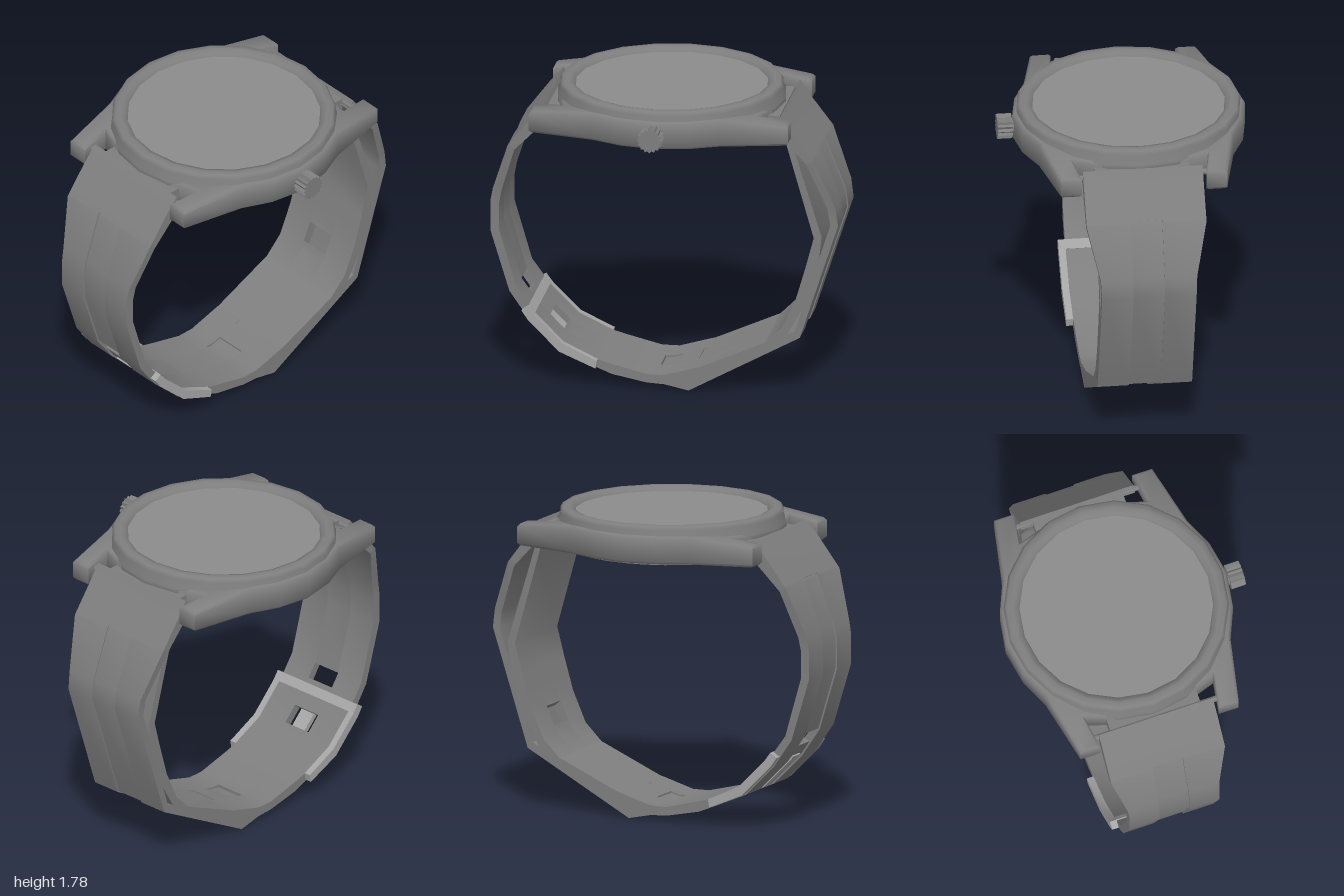
import * as THREE from 'three';
import { toCreasedNormals } from 'three/addons/utils/BufferGeometryUtils.js';

const CX = -0.045; // watch centre line
const dark = new THREE.MeshStandardMaterial({ color: 0x7e7e7e });
const dialGrey = new THREE.MeshStandardMaterial({ color: 0x8b8b8b });
const metal = new THREE.MeshStandardMaterial({ color: 0xa5a5a5 });

// Strap sections: outer z, outer y, inner z, inner y, half width
const FRONT = [
  [0.68, 1.69, 0.655, 1.63, 0.342], [0.76, 1.6, 0.71, 1.55, 0.342], [0.89, 1.43, 0.85, 1.41, 0.342],
  [0.985, 1.15, 0.935, 1.14, 0.275], [1, 1.07, 0.95, 1.06, 0.27], [1, 0.9, 0.95, 0.905, 0.27],
  [0.89, 0.54, 0.85, 0.56, 0.27], [0.78, 0.38, 0.74, 0.41, 0.27], [0.6, 0.2, 0.58, 0.25, 0.27],
  [0.4, 0.115, 0.39, 0.16, 0.27], [0.3, 0.075, 0.3, 0.135, 0.27], [0.1, 0.035, 0.1, 0.085, 0.27],
  [0, 0.03, 0, 0.085, 0.27], [-0.17, 0.08, -0.17, 0.135, 0.27], [-0.33, 0.135, -0.32, 0.175, 0.27],
  [-0.61, 0.27, -0.58, 0.31, 0.27], [-0.71, 0.37, -0.68, 0.41, 0.27], [-0.81, 0.55, -0.76, 0.59, 0.27],
  [-0.885, 0.77, -0.815, 0.78, 0.27], [-0.905, 0.96, -0.86, 0.95, 0.27], [-0.73, 1.53, -0.7, 1.51, 0.27],
];
const BACK = [
  [0.1, 0.035, 0.1, 0.06, 0.27], [0, 0.03, 0, 0.075, 0.27], [-0.14, 0, -0.14, 0.115, 0.27],
  [-0.78, 0.35, -0.75, 0.385, 0.27], [-1, 1.03, -0.955, 1.03, 0.27], [-0.985, 1.14, -0.94, 1.13, 0.275],
  [-0.87, 1.43, -0.83, 1.41, 0.342], [-0.74, 1.6, -0.7, 1.55, 0.342], [-0.68, 1.69, -0.655, 1.63, 0.342],
];

// Section at a fractional position along the strap
function sample(rows, t) {
  const i = Math.min(Math.floor(t), rows.length - 2);
  return rows[i].map((v, k) => v + (rows[i + 1][k] - v) * (t - i));
}

// Solid strip between positions t0 and t1; xa and xb give the side edges from the half width
function strip(rows, t0, t1, xa, xb, lift = 0, sink = 0) {
  const ts = [t0];
  for (let i = Math.floor(t0) + 1; i < t1; i++) ts.push(i);
  ts.push(t1);
  const rings = ts.map((t) => {
    const [zo, yo, zi, yi, w] = sample(rows, t);
    const at = (x, f) => [CX + x, yo + (yi - yo) * f, zo + (zi - zo) * f];
    return [at(xa(w), lift), at(xb(w), lift), at(xb(w), 1 + sink), at(xa(w), 1 + sink)];
  });
  const pos = [];
  const quad = (a, b, c, d) => pos.push(...a, ...b, ...c, ...a, ...c, ...d);
  for (let i = 0; i < rings.length - 1; i++) {
    const p = rings[i], q = rings[i + 1];
    for (let k = 0; k < 4; k++) quad(p[k], q[k], q[(k + 1) % 4], p[(k + 1) % 4]);
  }
  quad(...rings[0]);
  quad(...rings[rings.length - 1].slice().reverse());
  const g = new THREE.BufferGeometry();
  g.setAttribute('position', new THREE.Float32BufferAttribute(pos, 3));
  return toCreasedNormals(g, 0.6);
}

function createModel() {
  const model = new THREE.Group();
  const add = (name, geo, material = dark, parent = model) => {
    const m = new THREE.Mesh(geo, material);
    m.name = name;
    parent.add(m);
    return m;
  };

  // Straps: two side rails, a sunken centre split by holes, and full-width ends
  const G = 0.09;
  function strap(name, rows, t0, t1, centre, ends) {
    const g = new THREE.Group();
    g.name = name;
    model.add(g);
    add('rightRail', strip(rows, t0, t1, (w) => -w, () => -G), dark, g);
    add('leftRail', strip(rows, t0, t1, () => G, (w) => w), dark, g);
    for (const [a, b, lift = 0.22, sink = 0] of centre) {
      add('centreStrip', strip(rows, a, b, () => -G, () => G, lift, sink), dark, g);
    }
    for (const [a, b] of ends) add('strapEnd', strip(rows, a, b, (w) => -w, (w) => w), dark, g);
  }
  // Entries with a lift are slot floors, those with a sink are floors of blind holes
  strap('frontStrap', FRONT, 1.9, 17.5,
    [[1.9, 6], [6.5, 7], [7, 7.35, 0.6], [7.85, 8.9, 0.6], [8.9, 11.5], [11.5, 12.3, 0.22, -0.4],
      [12.3, 13], [13, 13.7, 0.22, -0.5], [13.7, 14.5], [14.95, 16.25], [16.85, 17.5]],
    [[0, 1.9], [17.5, 20]]);
  strap('backStrap', BACK, 1, 6.1, [[1, 6.1, 0.15]], [[0, 1], [6.1, 8]]);

  // Buckle: two side bars, a cross bar on the inside, and the prong in the slot
  const buckle = new THREE.Group();
  buckle.name = 'buckle';
  model.add(buckle);
  add('rightBar', strip(FRONT, 6.65, 9.1, () => -0.31, () => -0.27, 0.1, 0.1), metal, buckle);
  add('leftBar', strip(FRONT, 6.65, 9.1, () => 0.27, () => 0.31, 0.1, 0.1), metal, buckle);
  add('crossBar', strip(FRONT, 6.65, 6.95, () => -0.3, () => 0.3, 0.85, 0.12), metal, buckle);
  add('prong', strip(FRONT, 6.9, 9, () => -0.045, () => 0.05, 0.05, -0.35), metal, buckle);

  // Case body with four lugs, mirrored from one quarter outline
  const quarter = [[0.665, 0], [0.63, 0.2], [0.555, 0.37], [0.475, 0.745], [0.355, 0.745], [0.385, 0.56], [0.2, 0.62]];
  const outline = [
    ...quarter, [0, 0.65],
    ...quarter.slice().reverse().map(([x, z]) => [-x, z]),
    ...quarter.slice(1).map(([x, z]) => [-x, -z]), [0, -0.65],
    ...quarter.slice(1).reverse().map(([x, z]) => [x, -z]),
  ];
  const body = new THREE.ExtrudeGeometry(
    new THREE.Shape(outline.map(([x, z]) => new THREE.Vector2(x, z))),
    { depth: 0.13, bevelThickness: 0.015, bevelSize: 0.015, bevelOffset: -0.015, bevelSegments: 1 });
  body.rotateX(Math.PI / 2).translate(CX, 1.705, 0);
  // Lugs slope down towards their tips
  const p = body.attributes.position;
  for (let i = 0; i < p.count; i++) {
    if (p.getY(i) > 1.64) p.setY(i, p.getY(i) - 0.1 * Math.max(0, Math.abs(p.getZ(i)) - 0.4));
  }
  add('caseBody', toCreasedNormals(body, 1.2));

  // Bezel, dial and case back
  const bezel = [[0.62, 1.58], [0.655, 1.66], [0.655, 1.695], [0.638, 1.72], [0.64, 1.75], [0.625, 1.773],
    [0.59, 1.777], [0.56, 1.768], [0.545, 1.735]].map(([r, y]) => new THREE.Vector2(r, y));
  add('bezel', new THREE.LatheGeometry(bezel, 20)).position.x = CX;
  add('dial', new THREE.CylinderGeometry(0.55, 0.55, 0.03, 20), dialGrey).position.set(CX, 1.733, 0);
  add('caseBack', new THREE.CylinderGeometry(0.595, 0.595, 0.04, 32)).position.set(CX, 1.565, 0);

  // Toothed crown on its stem
  const teeth = [];
  for (let i = 0; i < 32; i++) {
    const r = i % 2 ? 0.06 : 0.072, a = (i / 32) * Math.PI * 2;
    teeth.push(new THREE.Vector2(r * Math.cos(a), r * Math.sin(a)));
  }
  const crown = new THREE.ExtrudeGeometry(new THREE.Shape(teeth), { depth: 0.085, bevelEnabled: false });
  add('crown', crown.rotateY(Math.PI / 2)).position.set(0.623, 1.64, 0.005);
  const stem = new THREE.CylinderGeometry(0.045, 0.045, 0.1, 16).rotateZ(Math.PI / 2);
  add('crownStem', stem).position.set(0.6, 1.64, 0.005);

  // Spring bars and end links joining the straps to the case
  for (const s of [1, -1]) {
    const bar = new THREE.CylinderGeometry(0.018, 0.018, 0.76, 10).rotateZ(Math.PI / 2);
    add('springBar', bar).position.set(CX, 1.645, s * 0.675);
    add('endLink', new THREE.BoxGeometry(0.54, 0.07, 0.1)).position.set(CX, 1.635, s * 0.615);
  }
  return model;
}

export { createModel };
